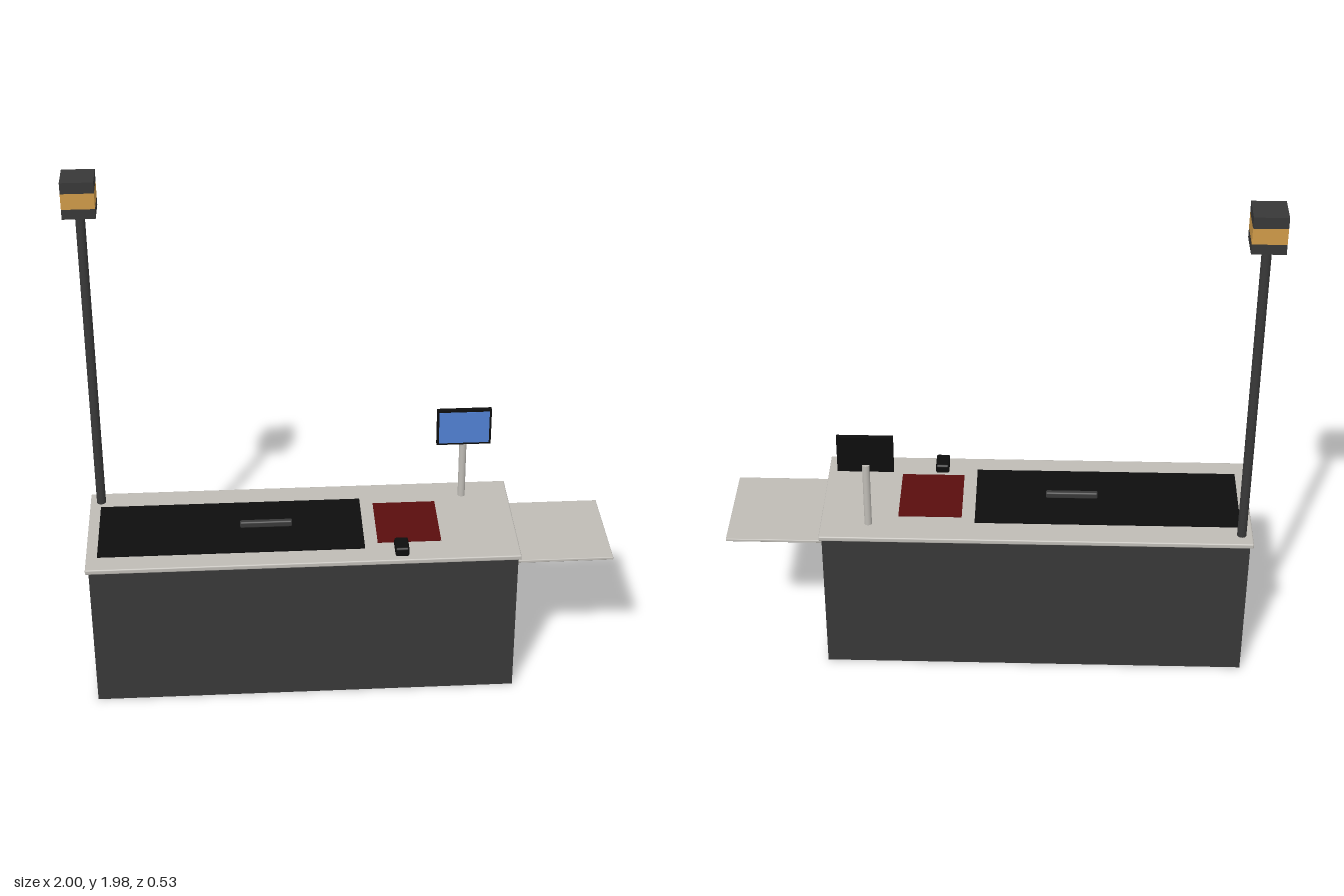
import * as THREE from 'three';
import { RoundedBoxGeometry } from 'three/addons/geometries/RoundedBoxGeometry.js';

const flat = (name, color) => {
  const m = new THREE.MeshStandardMaterial({ color });
  m.name = name;
  return m;
};

export function createModel() {
  const group = new THREE.Group();
  group.name = 'checkoutCounter';

  const charcoal = flat('charcoal', 0x383838);
  const stone = flat('paleGrey', 0xbebbb5);
  const black = flat('black', 0x0d0d0d);
  const red = flat('darkRed', 0x5a0d0d);
  const amber = flat('amber', 0xcf9a48);
  const blue = flat('screenBlue', 0x5080d2);

  const add = (name, geometry, material, x, y, z) => {
    const mesh = new THREE.Mesh(geometry, material);
    mesh.name = name;
    mesh.position.set(x, y, z);
    group.add(mesh);
    return mesh;
  };
  // Box given by its limits on each axis, with optional rounded edges
  const box = (name, mat, [x0, x1], [y0, y1], [z0, z1], r = 0) => {
    const size = [x1 - x0, y1 - y0, z1 - z0];
    const geo = r ? new RoundedBoxGeometry(...size, 2, r) : new THREE.BoxGeometry(...size);
    return add(name, geo, mat, (x0 + x1) / 2, (y0 + y1) / 2, (z0 + z1) / 2);
  };
  // Upright round post
  const post = (name, mat, r, x, z, y0, y1) =>
    add(name, new THREE.CylinderGeometry(r, r, y1 - y0, 24), mat, x, (y0 + y1) / 2, z);

  // Cabinet, worktop and bagging shelf
  box('cabinet', charcoal, [-0.97, 0.63], [0, 0.592], [-0.25, 0.25]);
  box('worktop', stone, [-0.982, 0.64], [0.59, 0.61], [-0.263, 0.263], 0.005);
  box('baggingShelf', stone, [0.625, 1], [0.533, 0.545], [-0.2, 0.2], 0.003);

  // Conveyor belt with goods divider
  box('conveyorBelt', black, [-0.94, 0.06], [0.606, 0.615], [-0.158, 0.18]);
  box('goodsDivider', charcoal, [-0.405, -0.207], [0.614, 0.64], [0, 0.022], 0.006);

  // Scanner plate and card reader
  box('scannerPlate', red, [0.11, 0.35], [0.606, 0.613], [-0.125, 0.145]);
  box('cardReader', black, [0.17, 0.222], [0.608, 0.645], [0.16, 0.24], 0.008);

  // Cashier display on its stand
  post('displayStand', stone, 0.014, 0.46, -0.171, 0.6, 0.88);
  box('displayCase', black, [0.357, 0.565], [0.85, 1], [-0.173, -0.154]);
  box('displayScreen', blue, [0.365, 0.557], [0.858, 0.992], [-0.155, -0.152]);

  // Lane light on a tall pole, in three stacked bands
  post('lightPole', charcoal, 0.0175, -0.94, -0.203, 0.6, 1.845);
  const bands = [
    ['lampBase', charcoal, 1.84, 1.878],
    ['lampLight', amber, 1.878, 1.938],
    ['lampCap', charcoal, 1.938, 1.98],
  ];
  for (const [name, mat, y0, y1] of bands)
    box(name, mat, [-1, -0.88], [y0, y1], [-0.263, -0.143]);

  return group;
}
